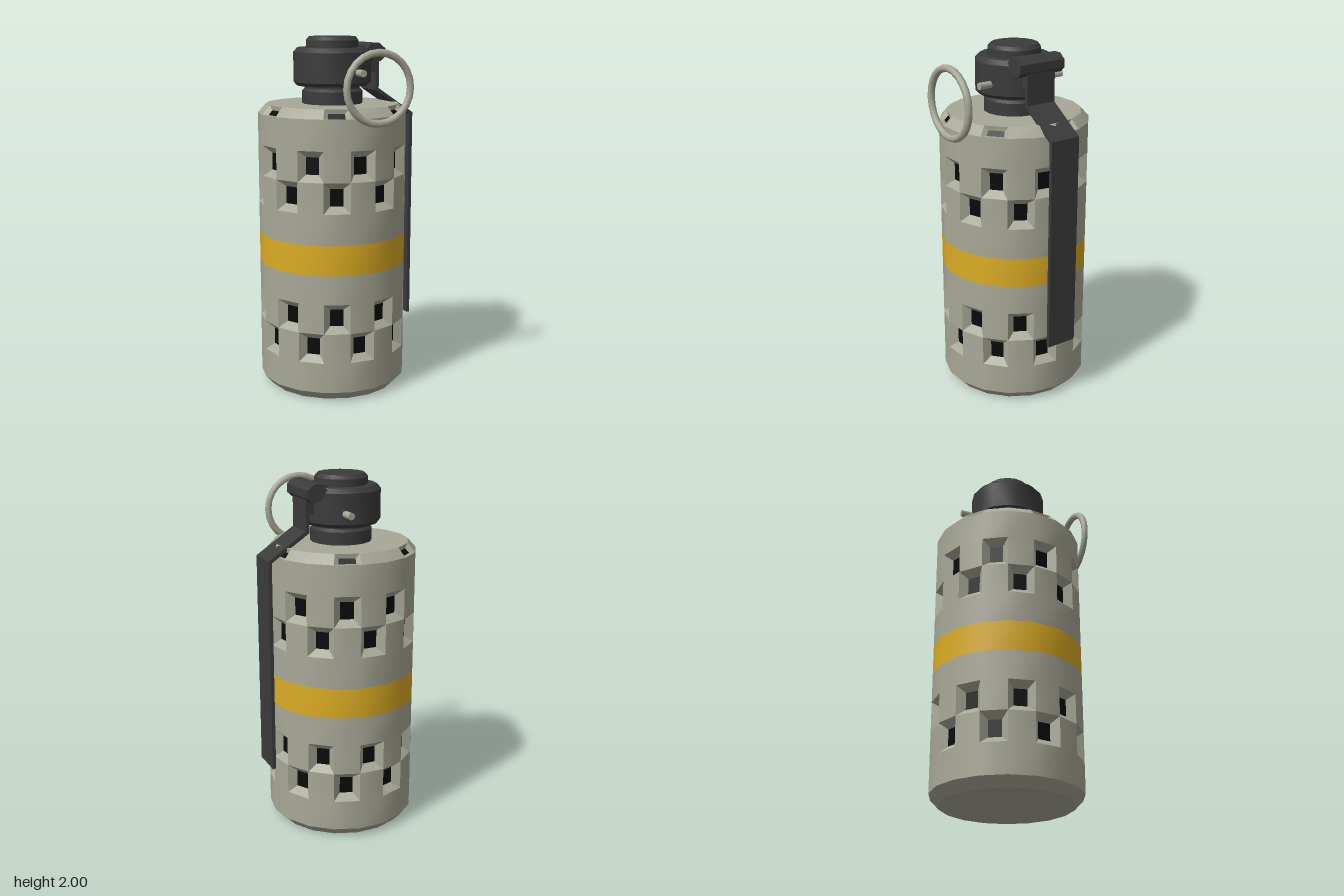
import * as THREE from 'three';
import { toCreasedNormals } from 'three/addons/utils/BufferGeometryUtils.js';

const CX = -0.026, CZ = -0.035; // axis of the canister
const SIDES = 18, STEP = (Math.PI * 2) / SIDES;

function mat(name, color) {
  const m = new THREE.MeshStandardMaterial({ color });
  m.name = name;
  return m;
}

// Triangle soup that takes quads and triangles of Vector3 corners
class Soup {
  constructor() { this.p = []; }
  tri(...v) { for (const q of v) this.p.push(q.x, q.y, q.z); }
  quad(a, b, c, d) { this.tri(a, b, c); this.tri(a, c, d); }
  geometry() {
    const g = new THREE.BufferGeometry();
    g.setAttribute('position', new THREE.Float32BufferAttribute(this.p, 3));
    return toCreasedNormals(g, 0.5);
  }
}

const rim = (r, y, phi) => new THREE.Vector3(Math.sin(phi) * r, y, Math.cos(phi) * r);

// Bevelled pocket in a quad, with a dark floor
function pocket(wall, floor, c, kx, ky, depth) {
  const n = c[1].clone().sub(c[0]).cross(c[3].clone().sub(c[0])).normalize();
  const at = (s, t) => c[0].clone().lerp(c[1], s)
    .lerp(c[3].clone().lerp(c[2], s), t).addScaledVector(n, -depth);
  const i = [at(kx, ky), at(1 - kx, ky), at(1 - kx, 1 - ky), at(kx, 1 - ky)];
  for (let k = 0; k < 4; k++) {
    const m = (k + 1) % 4;
    wall.quad(c[k], c[m], i[m], i[k]);
  }
  floor.quad(...i);
}

export function createModel() {
  const group = new THREE.Group();
  const shell = mat('greyShell', 0xa8a898);
  const gold = mat('goldBand', 0xdbac24);
  const dark = mat('darkMetal', 0x3b3b3c);
  const black = mat('blackOpening', 0x0a0a0a);

  const add = (name, geometry, material, x = 0, y = 0, z = 0) => {
    const m = new THREE.Mesh(geometry, material);
    m.name = name;
    m.position.set(x, y, z);
    group.add(m);
    return m;
  };

  // Canister body: rings of height and radius, with what each row above holds
  const rows = [
    [0, 0.37, 'plain'], [0.053, 0.42, 'plain'], [0.225, 0.42, 'even'],
    [0.394, 0.42, 'odd'], [0.563, 0.42, 'plain'], [0.728, 0.42, 'band'],
    [0.897, 0.42, 'plain'], [1.07, 0.42, 'odd'], [1.24, 0.42, 'even'],
    [1.41, 0.42, 'plain'], [1.58, 0.42, 'rim'], [1.63, 0.375, 'end'],
  ];
  const body = new Soup(), band = new Soup(), holes = new Soup();
  for (let i = 0; i < SIDES; i++) {
    const a = (i - 0.5) * STEP, b = (i + 0.5) * STEP;
    for (let j = 0; j < rows.length - 1; j++) {
      const [y0, r0, kind] = rows[j], [y1, r1] = rows[j + 1];
      const c = [rim(r0, y0, a), rim(r0, y0, b), rim(r1, y1, b), rim(r1, y1, a)];
      if (kind === 'band') band.quad(...c);
      else if (kind === 'rim' && i % 3 === 2) pocket(body, holes, c, 0.17, 0.25, 0.02);
      else if ((kind === 'even' && i % 2 === 0) || (kind === 'odd' && i % 2 === 1)) {
        pocket(body, holes, c, 0.25, 0.22, 0.04);
      } else body.quad(...c);
    }
    // flat ends
    body.tri(rim(0, 0, 0), rim(0.37, 0, b), rim(0.37, 0, a));
    body.tri(rim(0, 1.63, 0), rim(0.375, 1.63, a), rim(0.375, 1.63, b));
  }
  add('canisterBody', body.geometry(), shell, CX, 0, CZ);
  add('paintedBand', band.geometry(), gold, CX, 0, CZ);
  add('ventOpenings', holes.geometry(), black, CX, 0, CZ);

  // Fuse head: collar, groove, main drum and top cap
  const turned = (name, pts) => add(name, toCreasedNormals(
    new THREE.LatheGeometry(pts.map(([r, y]) => new THREE.Vector2(r, y)), 16), 0.5), dark, CX, 0, CZ);
  turned('neckCollar', [[0.17, 1.62], [0.17, 1.70], [0.155, 1.715], [0.155, 1.74]]);
  turned('fuseHead', [[0, 1.73], [0.2, 1.73], [0.218, 1.75], [0.218, 1.915], [0.195, 1.94], [0, 1.94]]);
  turned('topCap', [[0.147, 1.93], [0.147, 1.98], [0.13, 2.0], [0, 2.0]]);

  // Profiles in the x-y plane, extruded across z and centred on the axis
  const profile = (name, pts, width) => {
    const shape = new THREE.Shape(pts.map(([x, y]) => new THREE.Vector2(x, y)));
    const g = new THREE.ExtrudeGeometry(shape, { depth: width, bevelEnabled: false });
    add(name, g, dark, 0, 0, CZ - width / 2);
  };
  profile('leverHinge', [[0.115, 1.925], [0.15, 1.965], [0.195, 1.965], [0.233, 1.935],
    [0.233, 1.89], [0.205, 1.865], [0.16, 1.87]], 0.29);
  profile('hingeBracket', [[0.08, 1.92], [0.08, 1.95], [0.16, 1.95], [0.2, 1.90], [0.2, 1.8], [0.15, 1.8]], 0.175);
  profile('safetyLever', [[0.2, 1.89], [0.2, 1.70], [0.42, 1.555], [0.42, 0.36],
    [0.44, 0.36], [0.44, 1.565], [0.222, 1.71], [0.222, 1.89]], 0.18);

  // Cross pin through the head and its pull ring
  const pin = new THREE.CylinderGeometry(0.02, 0.02, 0.55, 8).rotateX(Math.PI / 2);
  add('safetyPin', toCreasedNormals(pin, 0.9), shell, 0.04, 1.807, CZ);
  add('pullRing', new THREE.TorusGeometry(0.186, 0.02, 8, 24), shell, 0.04, 1.741, 0.425);

  return group;
}
